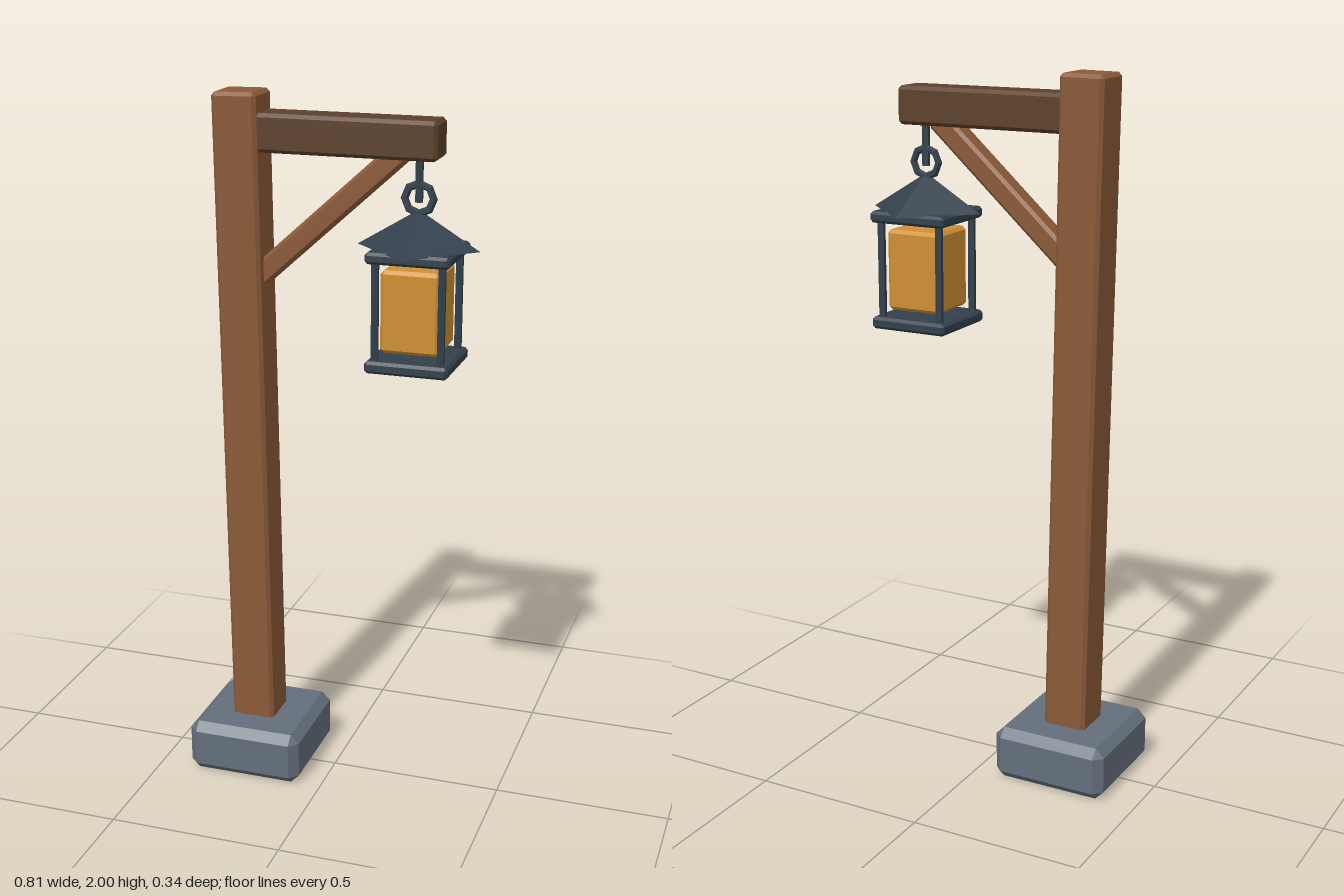
import * as THREE from 'three';
import { ConvexGeometry } from 'three/addons/geometries/ConvexGeometry.js';

const material = (name, color) => {
  const m = new THREE.MeshStandardMaterial({ color });
  m.name = name;
  return m;
};

// Box with flat chamfers on every edge
function chamferBox(w, h, d, c) {
  const points = [];
  for (const x of [-1, 1]) for (const y of [-1, 1]) for (const z of [-1, 1]) {
    const [a, b, e] = [w / 2, h / 2, d / 2];
    points.push(
      new THREE.Vector3(x * a, y * (b - c), z * (e - c)),
      new THREE.Vector3(x * (a - c), y * b, z * (e - c)),
      new THREE.Vector3(x * (a - c), y * (b - c), z * e)
    );
  }
  return new ConvexGeometry(points);
}

export function createModel() {
  const model = new THREE.Group();
  model.name = 'lanternPost';

  const stone = material('stone', 0x646f7c);
  const wood = material('wood', 0x8b5a38);
  const darkWood = material('dark wood', 0x5c402a);
  const metal = material('dark metal', 0x33414c);
  const glass = material('amber glass', 0xcf9033);

  const add = (parent, name, geometry, mat, x, y, z = 0) => {
    // Separate the faces so the facets stay flat
    const g = geometry.index ? geometry.toNonIndexed() : geometry;
    g.computeVertexNormals();
    const mesh = new THREE.Mesh(g, mat);
    mesh.name = name;
    mesh.position.set(x, y, z);
    parent.add(mesh);
    return mesh;
  };

  // Stone foot
  add(model, 'base', chamferBox(0.34, 0.155, 0.34, 0.025), stone, -0.235, 0.0775);

  // Slightly leaning post
  const post = add(model, 'post', chamferBox(0.127, 1.88, 0.127, 0.01), wood, -0.2525, 1.059);
  post.rotation.z = 0.0155;

  // Arm and diagonal brace
  add(model, 'arm', chamferBox(0.52, 0.105, 0.106, 0.01), darkWood, 0.034, 1.893);
  const brace = add(model, 'brace', chamferBox(0.55, 0.062, 0.065, 0.009), wood, -0.014, 1.677);
  brace.rotation.z = Math.atan2(0.337, 0.372);

  // Lantern, hung from the arm
  const lantern = new THREE.Group();
  lantern.name = 'lantern';
  lantern.position.x = 0.234;
  model.add(lantern);

  add(lantern, 'hangerRod', new THREE.CylinderGeometry(0.011, 0.011, 0.13, 6), metal, 0, 1.79);
  add(lantern, 'hangerRing', new THREE.TorusGeometry(0.04, 0.011, 6, 8), metal, 0, 1.735);
  add(lantern, 'roof', new THREE.ConeGeometry(0.17, 0.103, 4), metal, 0, 1.654);
  add(lantern, 'topPlate', chamferBox(0.233, 0.032, 0.233, 0.008), metal, 0, 1.59);
  add(lantern, 'bottomPlate', chamferBox(0.233, 0.034, 0.233, 0.008), metal, 0, 1.291);
  add(lantern, 'glassBody', chamferBox(0.165, 0.228, 0.165, 0.01), glass, 0, 1.439);

  // Corner bars
  for (const x of [-1, 1]) for (const z of [-1, 1]) {
    add(lantern, 'cornerBar', new THREE.CylinderGeometry(0.011, 0.011, 0.29, 6), metal,
      x * 0.092, 1.44, z * 0.092);
  }

  return model;
}
